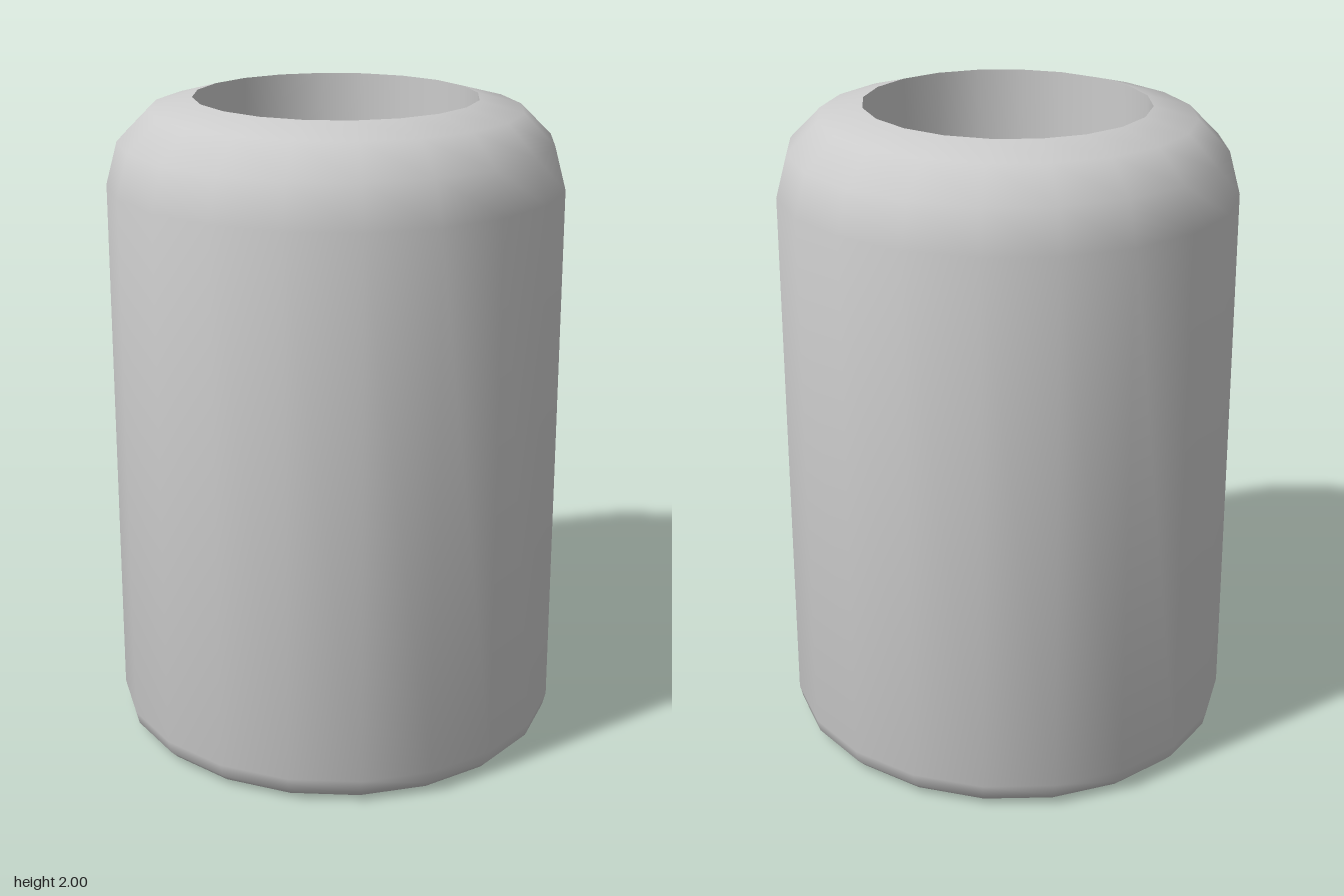
import * as THREE from 'three';
import { toCreasedNormals } from 'three/addons/utils/BufferGeometryUtils.js';

const SIDES = 20;
const RX = 0.7;      // half width
const RZ = 0.74;     // half depth
const FLOOR_Y = 0.1; // height of the cavity floor

const material = new THREE.MeshStandardMaterial({ color: 0xcccccc });

// Oval shell swept from [inset from the outer wall, height] pairs
function ovalShell(name, profile) {
  const points = profile.map(([inset, y]) => new THREE.Vector2(RX - inset, y));
  const geometry = new THREE.LatheGeometry(points, SIDES);
  const pos = geometry.attributes.position;
  for (let i = 0; i < pos.count; i++) {
    const r = Math.hypot(pos.getX(i), pos.getZ(i));
    pos.setZ(i, pos.getZ(i) * (r + RZ - RX) / r);
  }
  const mesh = new THREE.Mesh(toCreasedNormals(geometry, 0.7), material);
  mesh.name = name;
  return mesh;
}

// Flat oval disc facing up (1) or down (-1)
function ovalDisc(name, inset, y, facing) {
  const geometry = new THREE.CircleGeometry(1, SIDES);
  geometry.scale(RX - inset, RZ - inset, 1);
  geometry.rotateX(-facing * Math.PI / 2);
  geometry.translate(0, y, 0);
  const mesh = new THREE.Mesh(geometry, material);
  mesh.name = name;
  return mesh;
}

export function createModel() {
  const group = new THREE.Group();
  group.name = 'jar';

  // Outer wall with small rounded foot and broad rounded shoulder
  group.add(ovalShell('outerWall', [
    [0.075, 0], [0.035, 0.01], [0.01, 0.035], [0, 0.075],
    [0, 1.74], [0.035, 1.87], [0.13, 1.965], [0.265, 2],
  ]));

  // Straight cavity wall, running down from the rim
  group.add(ovalShell('innerWall', [[0.265, 2], [0.265, FLOOR_Y]]));

  // Closed bottom, inside and out
  group.add(ovalDisc('cavityFloor', 0.265, FLOOR_Y, 1));
  group.add(ovalDisc('base', 0.075, 0, -1));
  return group;
}
